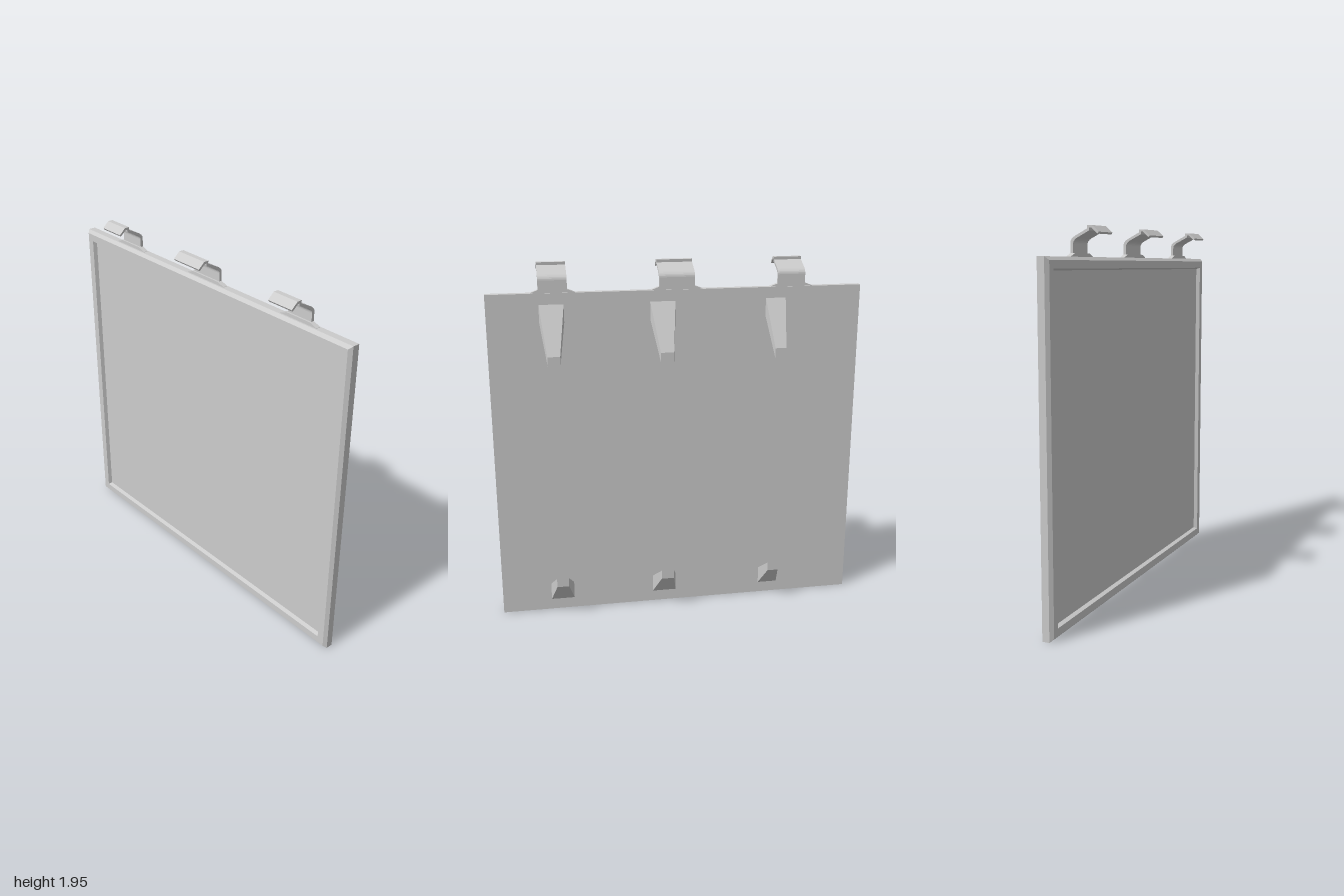
import * as THREE from 'three';

const material = new THREE.MeshStandardMaterial({ color: 0xcccccc, flatShading: true });

// Solid through rectangular rings [x, y0, y1, z0, z1], capped at both ends
function loft(rings) {
  const corners = rings.map(([x, y0, y1, z0, z1]) => [[x, y0, z0], [x, y1, z0], [x, y1, z1], [x, y0, z1]]);
  const pos = [];
  const quad = (a, b, c, d) => pos.push(...a, ...b, ...c, ...a, ...c, ...d);
  for (let r = 0; r + 1 < corners.length; r++) {
    for (let i = 0; i < 4; i++) {
      const j = (i + 1) % 4;
      quad(corners[r][i], corners[r][j], corners[r + 1][j], corners[r + 1][i]);
    }
  }
  quad(...[...corners[0]].reverse());
  quad(...corners[corners.length - 1]);
  const g = new THREE.BufferGeometry();
  g.setAttribute('position', new THREE.Float32BufferAttribute(pos, 3));
  g.computeVertexNormals();
  return g;
}

function mesh(name, geometry) {
  const m = new THREE.Mesh(geometry, material);
  m.name = name;
  return m;
}

// Panel ring inset from the outer edge
const panelRing = (x, inset) => [x, inset, 1.8 - inset, inset - 1, 1 - inset];

// Curved strap profile, swept across the hook's width
function hookStrap(z0, z1) {
  const s = new THREE.Shape();
  s.moveTo(0.005, 1.79);
  s.lineTo(0.005, 1.865);
  s.quadraticCurveTo(0.005, 1.885, -0.025, 1.9);
  s.lineTo(-0.085, 1.931);
  s.lineTo(-0.083, 1.946);
  s.lineTo(-0.11, 1.946);
  s.lineTo(-0.145, 1.915);
  s.lineTo(-0.139, 1.906);
  s.lineTo(-0.106, 1.934);
  s.lineTo(-0.096, 1.934);
  s.lineTo(-0.095, 1.921);
  s.lineTo(-0.03, 1.888);
  s.quadraticCurveTo(-0.01, 1.876, -0.01, 1.86);
  s.lineTo(-0.01, 1.79);
  return new THREE.ExtrudeGeometry(s, { depth: z1 - z0, bevelEnabled: false, curveSegments: 5 }).translate(0, 0, z0);
}

// Flared foot where the strap meets the panel's top edge
function hookFoot(z0, z1) {
  const s = new THREE.Shape();
  s.moveTo(z0 - 0.045, 1.795);
  s.lineTo(z1 + 0.045, 1.795);
  s.lineTo(z1 + 0.04, 1.802);
  s.lineTo(z1, 1.817);
  s.lineTo(z0, 1.817);
  s.lineTo(z0 - 0.04, 1.802);
  return new THREE.ExtrudeGeometry(s, { depth: 0.025, bevelEnabled: false })
    .rotateY(-Math.PI / 2).translate(0.005, 0, 0);
}

export function createModel() {
  const model = new THREE.Group();
  model.name = 'hookedPanel';

  // Panel with chamfered rim and recessed back
  model.add(mesh('panel', loft([
    panelRing(-0.024, 0.063), panelRing(-0.045, 0.055), panelRing(-0.045, 0.016),
    panelRing(-0.028, 0), panelRing(0.01, 0),
  ])));

  // Hooks along the top edge
  for (const [z0, z1] of [[0.58, 0.73], [-0.09, 0.1], [-0.69, -0.54]]) {
    const hook = new THREE.Group();
    hook.name = 'hook';
    hook.add(mesh('hookStrap', hookStrap(z0, z1)), mesh('hookFoot', hookFoot(z0, z1)));
    model.add(hook);
  }

  // Tapered prongs: base span and tip span in z
  for (const [b0, b1, t0, t1] of [[0.6, 0.73, 0.635, 0.7], [0.015, 0.15, 0.045, 0.115], [-0.585, -0.475, -0.56, -0.5]]) {
    model.add(
      mesh('upperProng', loft([[0.008, 1.65, 1.745, b0, b1], [0.14, 1.445, 1.495, t0, t1]])),
      mesh('lowerProng', loft([[0.008, 0.058, 0.155, b0, b1], [0.125, 0.19, 0.24, t0, t1]])),
    );
  }
  return model;
}
